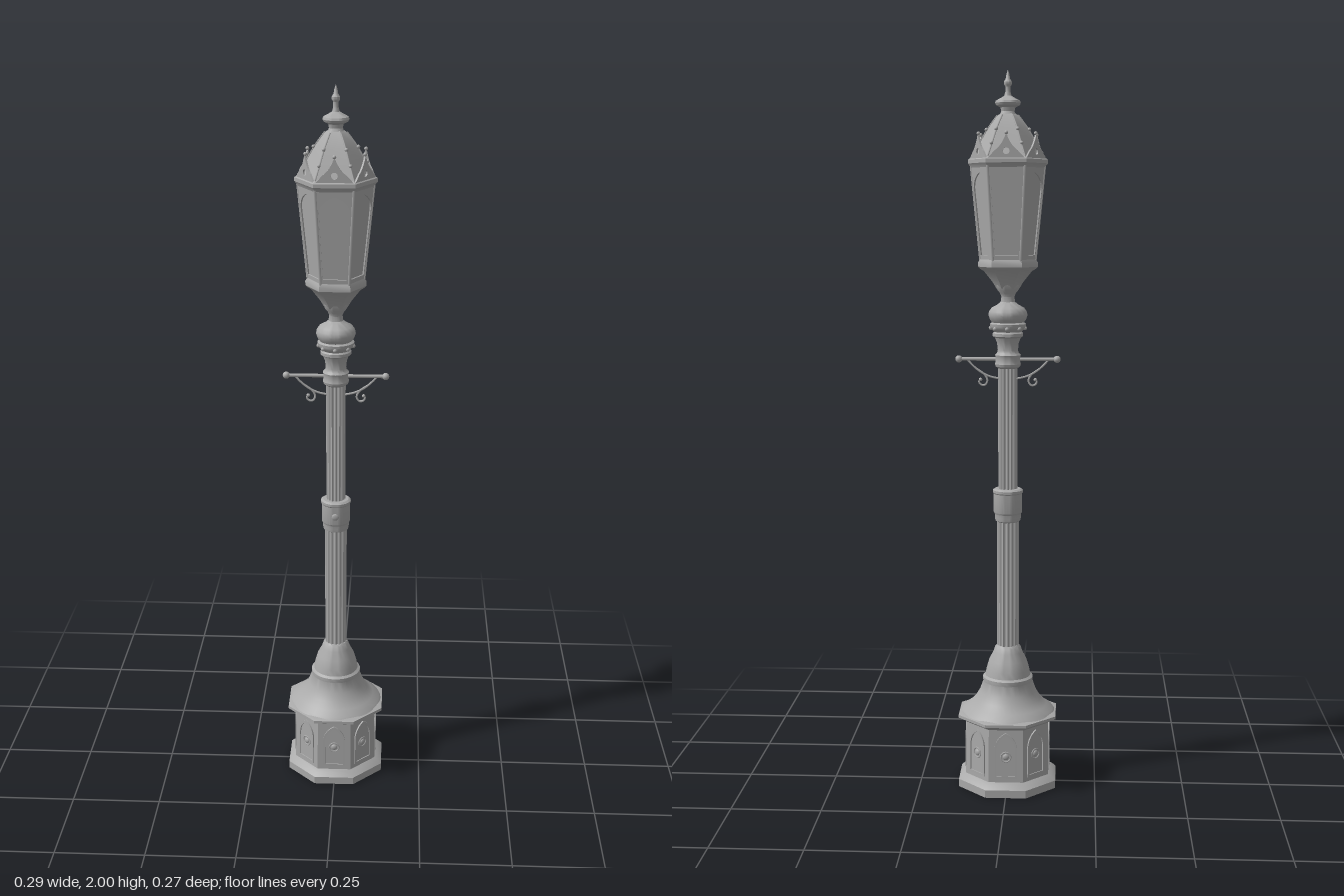
import * as THREE from 'three';
import { toCreasedNormals } from 'three/addons/utils/BufferGeometryUtils.js';

const iron = new THREE.MeshStandardMaterial({ color: 0xaaaaaa });
iron.name = 'cast iron grey';

const V = (x, y, z = 0) => new THREE.Vector3(x, y, z);

function add(parent, name, geometry, x = 0, y = 0, z = 0) {
  const mesh = new THREE.Mesh(geometry, iron);
  mesh.name = name;
  mesh.position.set(x, y, z);
  parent.add(mesh);
  return mesh;
}

// Turned or faceted solid from [radius, height] pairs, listed bottom to top
function turned(profile, sides = 32, turn = 0) {
  const pts = profile.map(([r, y]) => new THREE.Vector2(r, y));
  return toCreasedNormals(new THREE.LatheGeometry(pts, sides).rotateY(turn), 0.55);
}
const OCT = 1 / Math.cos(Math.PI / 8);
const octagon = (profile) => turned(profile.map(([a, y]) => [a * OCT, y]), 8, Math.PI / 8);
const hexagon = (profile) => turned(profile, 6, Math.PI / 6);

const tube = (pts, r, n = 20) => new THREE.TubeGeometry(new THREE.CatmullRomCurve3(pts), n, r, 6);
const ball = (r) => new THREE.SphereGeometry(r, 12, 8);
const plate = (shape, depth) =>
  new THREE.ExtrudeGeometry(shape, { depth, bevelEnabled: false, curveSegments: 8 });

// Pointed arch outline, half width w, from y0 up to the spring line and the apex
function arch(Path, w0, w1, y0, spring, apex) {
  const p = new Path();
  p.moveTo(-w0, y0);
  p.lineTo(w0, y0);
  p.lineTo(w1, spring);
  p.quadraticCurveTo(w1 * 0.9, spring + (apex - spring) * 0.7, 0, apex);
  p.quadraticCurveTo(-w1 * 0.9, spring + (apex - spring) * 0.7, -w1, spring);
  p.closePath();
  return p;
}

// Repeats a part around the vertical axis
function around(parent, name, count, start, build) {
  for (let i = 0; i < count; i++) {
    const g = new THREE.Group();
    g.name = name;
    g.rotation.y = start + (i * Math.PI * 2) / count;
    build(g);
    parent.add(g);
  }
}

// Shaft with shallow vertical flutes
function fluted(radius, height) {
  const s = new THREE.Shape();
  const n = 64;
  for (let i = 0; i < n; i++) {
    const a = (i / n) * Math.PI * 2;
    const r = radius * (i % 4 === 0 ? 1 : i % 4 === 2 ? 0.87 : 0.91);
    if (i) s.lineTo(r * Math.cos(a), r * Math.sin(a));
    else s.moveTo(r, 0);
  }
  return plate(s, height).rotateX(-Math.PI / 2);
}

function buildBase(root) {
  const base = new THREE.Group();
  base.name = 'base';
  root.add(base);
  add(base, 'pedestal', octagon([
    [0, 0], [0.137, 0], [0.137, 0.022], [0.127, 0.032], [0.117, 0.038],
    [0.115, 0.19], [0.123, 0.198], [0.137, 0.204], [0.137, 0.212], [0.125, 0.216], [0, 0.216],
  ]));
  add(base, 'bell', turned([
    [0.134, 0.212], [0.128, 0.22], [0.11, 0.232], [0.093, 0.25], [0.08, 0.272], [0.07, 0.3],
    [0.071, 0.305], [0.071, 0.313], [0.064, 0.318], [0.061, 0.335], [0.053, 0.362],
    [0.041, 0.385], [0.036, 0.4], [0.031, 0.405], [0, 0.405],
  ], 40));
  // Arched frames with a rosette on every face
  around(base, 'arched panel', 8, 0, (g) => {
    const frame = arch(THREE.Shape, 0.032, 0.032, 0.05, 0.135, 0.182);
    frame.holes.push(arch(THREE.Path, 0.026, 0.026, 0.056, 0.133, 0.174));
    add(g, 'panel frame', plate(frame, 0.005), 0, 0, 0.1145);
    const boss = add(g, 'rosette', ball(0.009), 0, 0.112, 0.1155);
    boss.scale.z = 0.5;
    add(g, 'rosette ring', new THREE.TorusGeometry(0.014, 0.002, 6, 16), 0, 0.112, 0.116);
  });
}

function buildShaft(root) {
  const shaft = new THREE.Group();
  shaft.name = 'shaft';
  root.add(shaft);
  add(shaft, 'lower shaft', fluted(0.031, 0.38), 0, 0.4, 0);
  add(shaft, 'upper shaft', fluted(0.027, 0.38), 0, 0.84, 0);
  add(shaft, 'middle collar', turned([
    [0.028, 0.762], [0.035, 0.766], [0.037, 0.776], [0.037, 0.785], [0.04, 0.79],
    [0.04, 0.843], [0.042, 0.846], [0.042, 0.853], [0.036, 0.857], [0, 0.857],
  ]));
  add(shaft, 'collar boss', ball(0.01), 0, 0.815, 0.04).scale.z = 0.35;
  add(shaft, 'capital', turned([
    [0.027, 1.195], [0.034, 1.2], [0.036, 1.207], [0.034, 1.214], [0.034, 1.226],
    [0.036, 1.232], [0.03, 1.238], [0.028, 1.245], [0.03, 1.265], [0.036, 1.28],
    [0.042, 1.284], [0.042, 1.292], [0.038, 1.296], [0.046, 1.304], [0.05, 1.312],
    [0.05, 1.318], [0.044, 1.322], [0.05, 1.33], [0.054, 1.342], [0.052, 1.352],
    [0.045, 1.362], [0.03, 1.37], [0.02, 1.378], [0.018, 1.392], [0.022, 1.402],
    [0.03, 1.412], [0.033, 1.425], [0, 1.43],
  ], 36));
  around(shaft, 'capital bead', 8, 0, (g) => add(g, 'bead', ball(0.006), 0, 1.306, 0.047));
}

// Ladder rest with scrolled brackets
function buildLadderRest(root) {
  const rest = new THREE.Group();
  rest.name = 'ladder rest';
  root.add(rest);
  add(rest, 'crossbar', new THREE.CylinderGeometry(0.005, 0.005, 0.27, 12).rotateZ(Math.PI / 2), 0, 1.22, 0);
  around(rest, 'rest arm', 2, 0, (g) => {
    add(g, 'end ball', ball(0.01), 0.136, 1.22, 0);
    add(g, 'brace', tube([V(0.112, 1.218), V(0.095, 1.2), V(0.075, 1.184), V(0.05, 1.172), V(0.024, 1.166)], 0.003));
    add(g, 'scroll', tube([
      V(0.088, 1.194), V(0.064, 1.176), V(0.057, 1.16), V(0.064, 1.148),
      V(0.075, 1.149), V(0.08, 1.158), V(0.076, 1.163),
    ], 0.003, 28));
    add(g, 'scroll tip', ball(0.005), 0.076, 1.163, 0);
  });
}

function buildLantern(root) {
  const lantern = new THREE.Group();
  lantern.name = 'lantern';
  root.add(lantern);
  add(lantern, 'lantern tray', hexagon([
    [0, 1.41], [0.032, 1.415], [0.042, 1.432], [0.066, 1.462], [0.076, 1.468],
    [0.082, 1.474], [0.082, 1.486], [0.076, 1.496], [0, 1.496],
  ]));
  add(lantern, 'glass', hexagon([[0.072, 1.49], [0.097, 1.745]]));
  add(lantern, 'eaves', hexagon([
    [0.09, 1.735], [0.1, 1.738], [0.104, 1.746], [0.109, 1.752], [0.109, 1.762], [0.1, 1.768], [0, 1.768],
  ]));

  // Arched window frames lean outward with the glass
  const lean = Math.atan(0.0217 / 0.255);
  around(lantern, 'window', 6, 0, (g) => {
    const s = new THREE.Shape();
    s.moveTo(-0.037, 0);
    s.lineTo(0.037, 0);
    s.lineTo(0.0495, 0.25);
    s.lineTo(-0.0495, 0.25);
    s.closePath();
    s.holes.push(arch(THREE.Path, 0.031, 0.0405, 0.014, 0.195, 0.236));
    add(g, 'window frame', plate(s, 0.004), 0, 1.492, 0.0625).rotation.x = lean;
  });
  around(lantern, 'corner bar', 6, Math.PI / 6, (g) => {
    add(g, 'bar', tube([V(0, 1.49, 0.075), V(0, 1.745, 0.1)], 0.004, 1));
  });

  // Roof and turned finial
  add(lantern, 'roof', hexagon([[0.101, 1.764], [0.079, 1.802], [0.054, 1.845], [0.03, 1.878], [0.018, 1.886]]));
  add(lantern, 'finial', turned([
    [0.031, 1.868], [0.022, 1.88], [0.018, 1.89], [0.02, 1.9], [0.032, 1.906], [0.035, 1.912],
    [0.033, 1.918], [0.02, 1.925], [0.01, 1.931], [0.007, 1.942], [0.007, 1.955], [0.011, 1.962],
    [0.011, 1.968], [0.006, 1.976], [0.004, 1.988], [0, 2.0],
  ], 24));
  around(lantern, 'roof ridge', 6, Math.PI / 6, (g) => {
    add(g, 'ridge', tube([V(0, 1.768, 0.1), V(0, 1.802, 0.079), V(0, 1.845, 0.054), V(0, 1.88, 0.028)], 0.0025, 8));
    add(g, 'upper ridge ball', ball(0.005), 0, 1.842, 0.058);
    add(g, 'lower ridge ball', ball(0.005), 0, 1.804, 0.081);
  });

  // Pierced gable on each side of the roof
  around(lantern, 'gable', 6, 0, (g) => {
    const s = new THREE.Shape();
    s.moveTo(-0.051, 0);
    s.lineTo(0.051, 0);
    s.lineTo(0.03, 0.022);
    s.quadraticCurveTo(0.012, 0.034, 0, 0.066);
    s.quadraticCurveTo(-0.012, 0.034, -0.03, 0.022);
    s.closePath();
    const eye = new THREE.Path();
    eye.absarc(0, 0.02, 0.009, 0, Math.PI * 2, true);
    s.holes.push(eye);
    add(g, 'gable plate', plate(s, 0.005), 0, 1.762, 0.086);
    add(g, 'gable ball', ball(0.005), 0, 1.83, 0.0885);
  });
}

export function createModel() {
  const root = new THREE.Group();
  root.name = 'street lamp';
  buildBase(root);
  buildShaft(root);
  buildLadderRest(root);
  buildLantern(root);
  return root;
}
